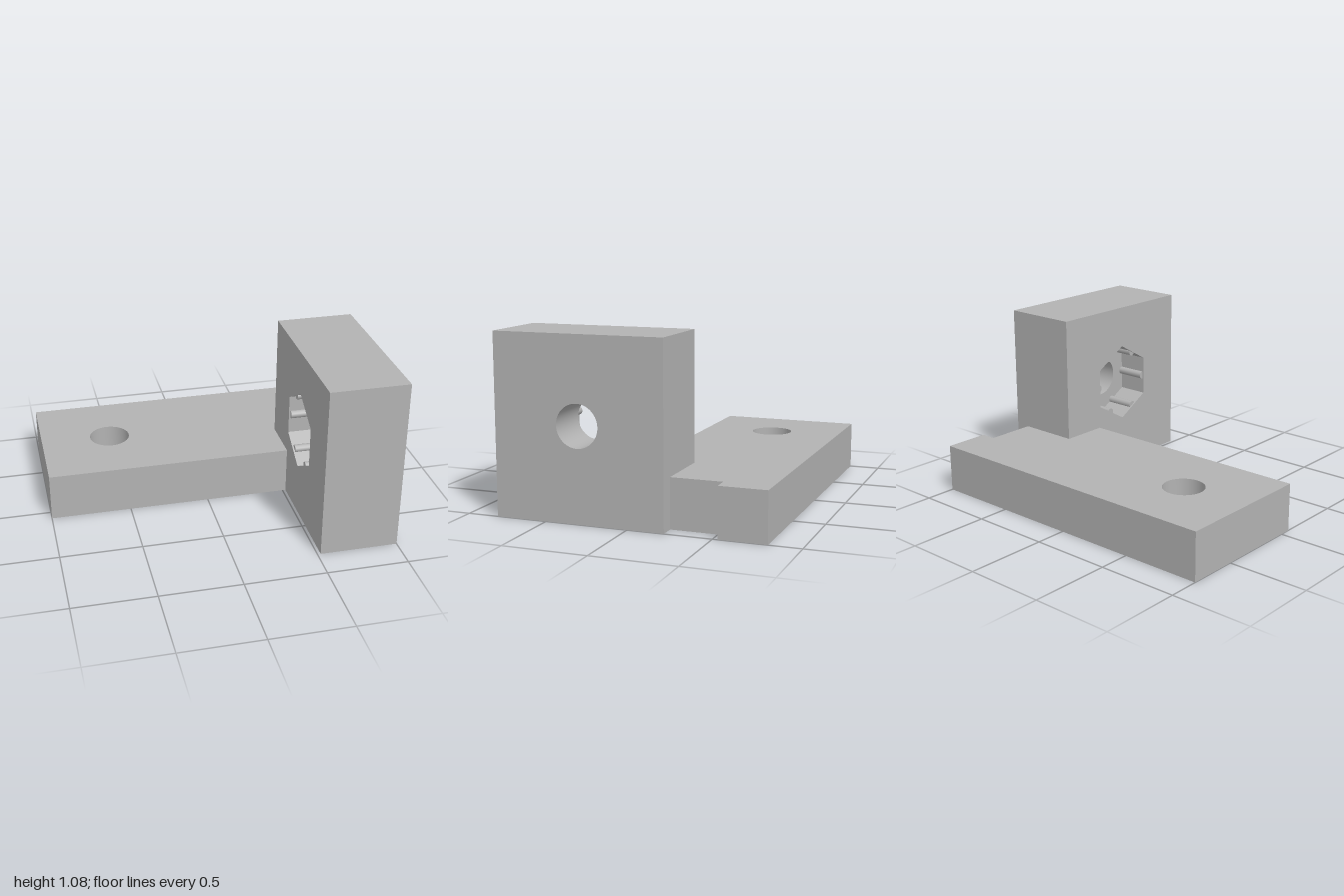
import * as THREE from 'three';
import { toCreasedNormals } from 'three/addons/utils/BufferGeometryUtils.js';

export function createModel() {
  const group = new THREE.Group();
  const grey = new THREE.MeshStandardMaterial({ color: 0xb2b2b2 });
  grey.name = 'grey plastic';

  const outline = (pts) => new THREE.Shape(pts.map(([x, y]) => new THREE.Vector2(x, y)));
  const roundHole = (x, y, r) => new THREE.Path().absarc(x, y, r, 0, Math.PI * 2, true);
  const extrude = (shape, depth) => toCreasedNormals(
    new THREE.ExtrudeGeometry(shape, { depth, bevelEnabled: false, curveSegments: 32 }), 0.5);
  const add = (name, geometry) => {
    const mesh = new THREE.Mesh(geometry, grey);
    mesh.name = name;
    group.add(mesh);
    return mesh;
  };

  // Flat base plate with a screw hole and an edge notch, drawn as (x, -z)
  const plate = outline([
    [-1, -0.07], [0.52, -0.07], [0.52, 0.22], [0.905, 0.22],
    [0.905, 0.527], [1, 0.53], [1, 0.81], [-1, 0.81],
  ]);
  plate.holes.push(roundHole(-0.56, 0.37, 0.127));
  add('basePlate', extrude(plate, 0.297).rotateX(-Math.PI / 2));

  // Upright block, drawn as (-z, y): a nut pocket layer and a bolt hole layer
  const x0 = 0.52, pocketDepth = 0.2, holeZ = 0.297, holeY = 0.562, hexR = 0.25;
  const blockShape = () => outline([[-0.81, 0], [0.22, 0], [0.22, 1.075], [-0.81, 1.075]]);

  const pocketLayer = blockShape();
  const hex = [];
  for (let i = 0; i < 6; i++) {
    const a = Math.PI / 2 - i * Math.PI / 3;
    hex.push(new THREE.Vector2(-holeZ + hexR * Math.cos(a), holeY + hexR * Math.sin(a)));
  }
  pocketLayer.holes.push(new THREE.Path(hex));
  add('nutPocketLayer', extrude(pocketLayer, pocketDepth).rotateY(Math.PI / 2).translate(x0, 0, 0));

  const boltLayer = blockShape();
  boltLayer.holes.push(roundHole(-holeZ, holeY, 0.127));
  add('boltHoleLayer', extrude(boltLayer, 1 - x0 - pocketDepth)
    .rotateY(Math.PI / 2).translate(x0 + pocketDepth, 0, 0));

  // Small grip ribs along the middle of each pocket wall
  const apothem = hexR * Math.cos(Math.PI / 6);
  for (let i = 0; i < 6; i++) {
    const a = i * Math.PI / 3;
    const rib = add('gripRib', new THREE.CylinderGeometry(0.025, 0.025, pocketDepth - 0.01, 12));
    rib.rotation.z = Math.PI / 2;
    rib.position.set(x0 + pocketDepth / 2 + 0.005,
      holeY + apothem * Math.sin(a), holeZ + apothem * Math.cos(a));
  }
  return group;
}
